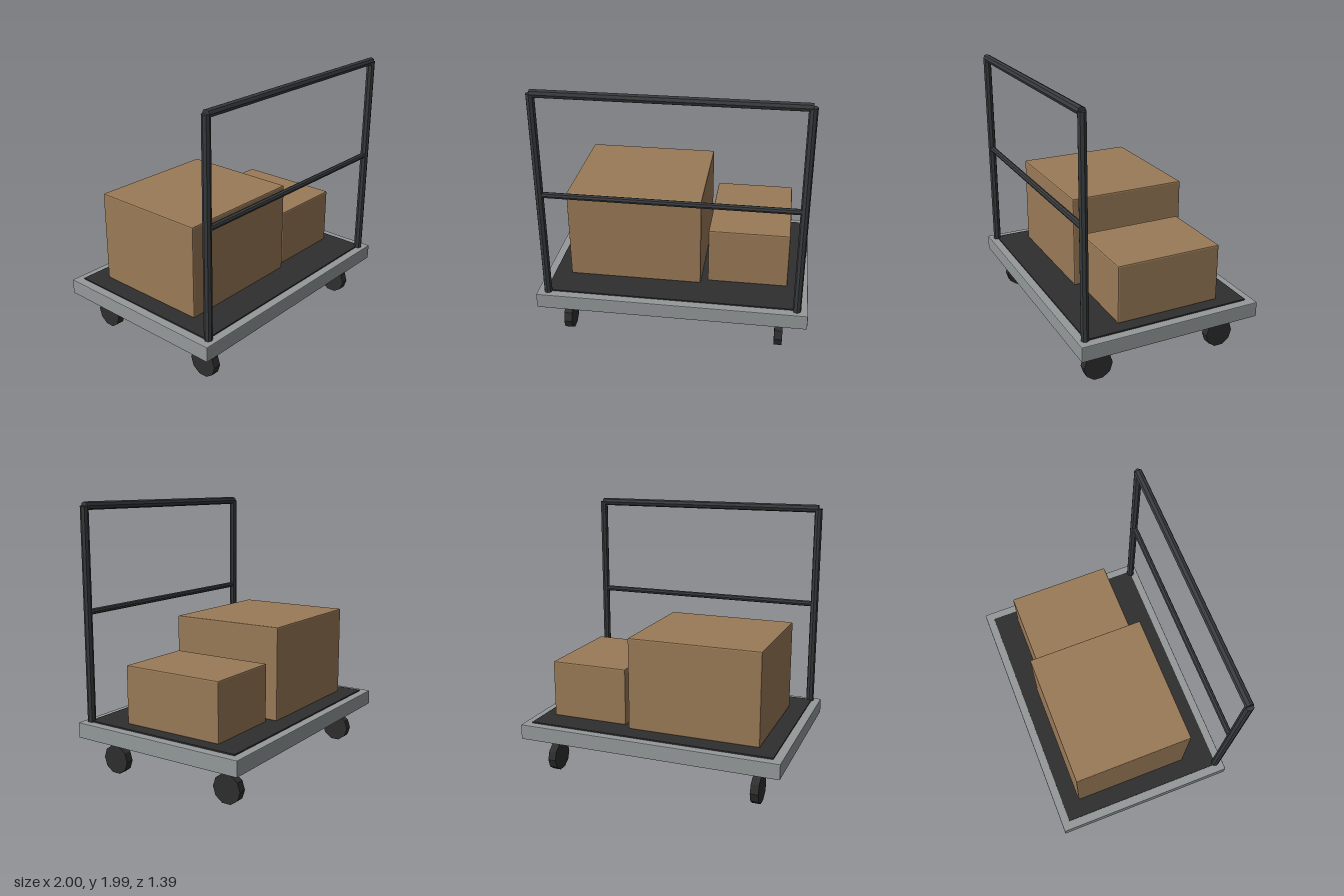
import * as THREE from 'three';
import { RoundedBoxGeometry } from 'three/addons/geometries/RoundedBoxGeometry.js';

const paint = (color) => new THREE.MeshStandardMaterial({ color, flatShading: true });

export function createModel() {
  const model = new THREE.Group();
  const steel = paint(0x94999a);
  const rubber = paint(0x2e2e2e);
  const tube = paint(0x373a3c);
  const bracket = paint(0x46494b);
  const cardboard = paint(0x9a7a57);

  const add = (name, geometry, material, x, y, z) => {
    const mesh = new THREE.Mesh(geometry, material);
    mesh.name = name;
    mesh.position.set(x, y, z);
    model.add(mesh);
    return mesh;
  };

  // Block with small chamfered edges, standing on the height "base"
  const block = (name, material, w, h, d, x, base, z, bevel) =>
    add(name, new RoundedBoxGeometry(w, h, d, 1, bevel), material, x, base + h / 2, z);

  // Platform and its rubber mat
  block('deck', steel, 2, 0.115, 1.394, 0, 0.285, 0, 0.006);
  add('mat', new THREE.BoxGeometry(1.87, 0.02, 1.27), rubber, 0, 0.4, 0);

  // Cargo
  block('largeCarton', cardboard, 1, 0.695, 0.9, -0.305, 0.41, -0.053, 0.01);
  block('smallCarton', cardboard, 0.6, 0.435, 0.8, 0.545, 0.41, -0.045, 0.01);

  // Push handle: two posts and two crossbars
  const handleZ = 0.637;
  for (const side of [-1, 1]) {
    add(side > 0 ? 'leftPost' : 'rightPost',
      new THREE.CylinderGeometry(0.03, 0.03, 1.56, 8), tube, side * 0.92, 1.18, handleZ);
  }
  const crossbar = (name, radius, y) => {
    add(name, new THREE.CylinderGeometry(radius, radius, 1.84, 8), tube, 0, y, handleZ)
      .rotation.z = Math.PI / 2;
  };
  crossbar('topBar', 0.03, 1.96);
  crossbar('middleBar', 0.022, 1.21);

  // Casters at the four corners
  for (const x of [-0.8, 0.8]) {
    for (const z of [-0.497, 0.497]) {
      add('casterMount', new THREE.BoxGeometry(0.12, 0.065, 0.12), bracket, x, 0.2575, z);
      add('wheel', new THREE.CylinderGeometry(0.11, 0.11, 0.06, 10), rubber, x, 0.105, z)
        .rotation.z = Math.PI / 2;
    }
  }
  return model;
}
